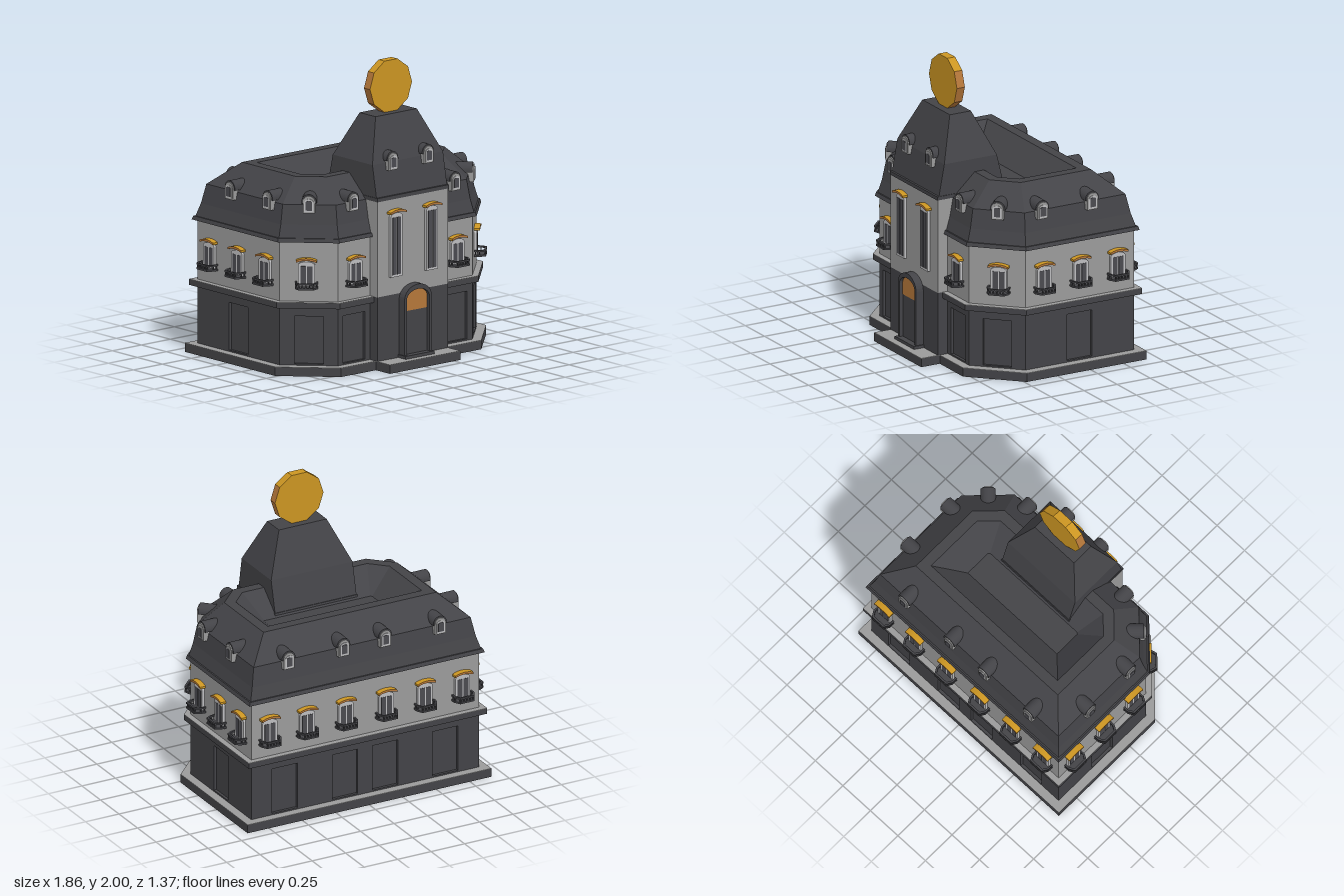
import * as THREE from 'three';

const material = (name, color) => Object.assign(new THREE.MeshStandardMaterial({ color }), { name });
const dark = material('charcoal', 0x434347);
const stone = material('stone grey', 0x9a9a9a);
const trim = material('pale trim', 0xbdbdbf);
const glass = material('window glass', 0x4b4b50);
const gold = material('gold', 0xcb9522);
const brown = material('copper brown', 0xb5773a);

function add(parent, name, geometry, mat, x = 0, y = 0, z = 0) {
  const mesh = new THREE.Mesh(geometry, mat);
  mesh.name = name;
  mesh.position.set(x, y, z);
  parent.add(mesh);
  return mesh;
}
const box = (w, h, d) => new THREE.BoxGeometry(w, h, d);
const extrude = (shape, depth) =>
  new THREE.ExtrudeGeometry(shape, { depth, bevelEnabled: false, curveSegments: 8 });

function flat(geometry) {
  const g = geometry.index ? geometry.toNonIndexed() : geometry;
  g.computeVertexNormals();
  return g;
}

// Faceted solid through stacked rings of [x, y, z] points, capped at both ends
function loft(rings) {
  const n = rings[0].length, pos = [];
  const tri = (a, b, c) => pos.push(...a, ...b, ...c);
  for (let r = 0; r + 1 < rings.length; r++) {
    const lo = rings[r], up = rings[r + 1];
    for (let i = 0; i < n; i++) {
      const j = (i + 1) % n;
      tri(lo[j], lo[i], up[i]);
      tri(lo[j], up[i], up[j]);
    }
  }
  const first = rings[0], last = rings[rings.length - 1];
  for (let k = 1; k + 1 < n; k++) {
    tri(first[0], first[k], first[k + 1]);
    tri(last[0], last[k + 1], last[k]);
  }
  const g = new THREE.BufferGeometry();
  g.setAttribute('position', new THREE.Float32BufferAttribute(pos, 3));
  return flat(g);
}

// Footprint with two chamfered front corners, inset by d
function plan(d, y) {
  const x = 0.85 - d, zb = -0.61 + d, zf = 0.48 - d, s = 1.06 - Math.SQRT2 * d;
  return [[x, y, zb], [x, y, s - x], [s - zf, y, zf], [zf - s, y, zf], [-x, y, s - x], [-x, y, zb]];
}
const rect = (x, zb, zf, y) => [[x, y, zb], [x, y, zf], [-x, y, zf], [-x, y, zb]];
const planLoft = (profile) => loft(profile.map(([d, y]) => plan(d, y)));

function arch(w, y0, spring, rise, Type = THREE.Shape) {
  const s = new Type();
  s.moveTo(-w / 2, y0);
  s.lineTo(w / 2, y0);
  s.lineTo(w / 2, spring);
  s.absellipse(0, spring, w / 2, rise, 0, Math.PI, false);
  s.closePath();
  return s;
}

function polygon(points, Type = THREE.Shape) {
  return new Type(points.map(([x, y]) => new THREE.Vector2(x, y)));
}
const rectangle = (x0, y0, x1, y1, Type) => polygon([[x0, y0], [x1, y0], [x1, y1], [x0, y1]], Type);

// Group on a wall, local +z pointing outward
function onWall(parent, name, [x, z, angle], y = 0) {
  const g = new THREE.Group();
  g.name = name;
  g.position.set(x, y, z);
  g.rotation.y = angle;
  parent.add(g);
  return g;
}
const mirrored = (spots) => spots.flatMap(([x, z, a]) => [[x, z, a], [-x, z, -a]]);

// Arched window with two panes and a curved hood
function addWindow(g, w, y0, spring, hoodY) {
  add(g, 'windowFrame', extrude(arch(w, y0, spring, 0.025), 0.018), trim);
  const pane = w * 0.32;
  for (const s of [-1, 1]) {
    add(g, 'windowPane', box(pane, spring - y0 - 0.02, 0.004), glass, s * pane * 0.62, (y0 + spring) / 2 + 0.005, 0.018);
  }
  const hood = new THREE.Shape();
  hood.moveTo(-0.068, 0);
  hood.quadraticCurveTo(0, 0.026, 0.068, 0);
  hood.lineTo(0.068, 0.014);
  hood.quadraticCurveTo(0, 0.042, -0.068, 0.014);
  hood.closePath();
  add(g, 'windowHood', extrude(hood, 0.04), [brown, gold], 0, hoodY, 0);
}

// Balcony with splayed ends
function addBalcony(g) {
  const outline = (k, d) => [[-0.075 * k, 0], [0.075 * k, 0], [0.075 * k, d * 0.5], [0.052 * k, d], [-0.052 * k, d], [-0.075 * k, d * 0.5]];
  const slab = (shape, h) => extrude(shape, h).rotateX(Math.PI / 2);
  add(g, 'balconyFloor', slab(polygon(outline(1, 0.078)), 0.012), dark, 0, 0.594, 0);
  const rail = polygon(outline(1, 0.078));
  rail.holes.push(polygon(outline(0.85, 0.064), THREE.Path));
  add(g, 'balconyRail', slab(rail, 0.011), dark, 0, 0.625, 0);
  const posts = [-0.046, -0.023, 0, 0.023, 0.046].map((x) => [x, 0.07]);
  posts.push([-0.068, 0.036], [0.068, 0.036], [-0.068, 0.01], [0.068, 0.01]);
  for (const [x, z] of posts) add(g, 'baluster', box(0.008, 0.026, 0.008), dark, x, 0.605, z);
}

// Dormer with barrel roof
function addDormer(g) {
  add(g, 'dormerCheeks', extrude(arch(0.08, 1.08, 1.155, 0.035), 0.1), stone, 0, 0, -0.105);
  add(g, 'dormerRoof', extrude(arch(0.1, 1.145, 1.155, 0.05), 0.125), dark, 0, 0, -0.135);
  add(g, 'dormerFace', extrude(arch(0.08, 1.08, 1.155, 0.04), 0.008), stone, 0, 0, -0.01);
  add(g, 'dormerFrame', extrude(arch(0.06, 1.09, 1.155, 0.022), 0.005), trim, 0, 0, -0.002);
  add(g, 'dormerPane', extrude(arch(0.042, 1.1, 1.155, 0.01), 0.003), glass, 0, 0, 0.003);
}

export function createModel() {
  const model = new THREE.Group();
  model.name = 'townHall';
  const q = Math.PI / 4;

  // Plinth and front landing with pale tops
  add(model, 'plinth', planLoft([[-0.06, 0], [-0.06, 0.057]]), dark);
  add(model, 'plinthTop', planLoft([[-0.06, 0.057], [-0.06, 0.06]]), stone);
  add(model, 'landing', box(0.61, 0.057, 0.28), dark, 0, 0.0285, 0.54);
  add(model, 'landingTop', box(0.61, 0.003, 0.28), stone, 0, 0.0585, 0.54);

  // Ground floor with recessed panels
  add(model, 'groundFloorCore', planLoft([[0.02, 0.05], [0.02, 0.46]]), dark);
  const faces = [
    [[0, 0.48, 0], 1.16, [-0.44, 0.44]],
    [[0, -0.61, Math.PI], 1.7, [-0.6, -0.15, 0.15, 0.6]],
    ...mirrored([[0.715, 0.345, q]]).map((s) => [s, 0.382, [0]]),
    ...mirrored([[0.85, -0.2, 2 * q]]).map((s) => [s, 0.82, [0]]),
  ];
  for (const [spot, width, panels] of faces) {
    const wall = rectangle(-width / 2, 0.06, width / 2, 0.45);
    for (const x of panels) wall.holes.push(rectangle(x - 0.095, 0.07, x + 0.095, 0.39, THREE.Path));
    add(onWall(model, 'groundFloorWall', spot), 'panelledWall', extrude(wall, 0.02), dark, 0, 0, -0.02);
  }

  // Cornice and upper floor
  add(model, 'cornice', planLoft([[-0.04, 0.45], [-0.04, 0.487]]), dark);
  add(model, 'corniceTop', planLoft([[-0.04, 0.487], [-0.04, 0.49]]), stone);
  add(model, 'upperWalls', planLoft([[0, 0.48], [0, 0.9]]), stone);

  // Mansard roof with sunken centre
  add(model, 'mansardRoof', planLoft([[-0.028, 0.89], [-0.02, 0.915], [-0.01, 0.915], [0.015, 1.0],
    [0.04, 1.13], [0.205, 1.28], [0.275, 1.28], [0.445, 1.13]]), dark);

  // Central pavilion
  add(model, 'pavilionBase', box(0.61, 0.44, 0.355), dark, 0, 0.27, 0.3775);
  add(model, 'pavilionWall', box(0.61, 0.645, 0.455), stone, 0, 0.8125, 0.3275);
  add(model, 'pavilionRoof', loft([rect(0.308, 0.045, 0.56, 1.13), rect(0.308, 0.05, 0.56, 1.155),
    rect(0.304, 0.055, 0.545, 1.155), rect(0.304, 0.108, 0.505, 1.37), rect(0.178, 0.23, 0.39, 1.655)]), dark);

  // Ten-sided disc on the pavilion, copper on its lower rim
  const disc = new THREE.CylinderGeometry(0.181, 0.181, 0.06, 10, 1, false, Math.PI / 10).rotateX(Math.PI / 2);
  disc.clearGroups();
  [[0, 18, 0], [18, 18, 1], [36, 24, 0], [60, 60, 1]].forEach((r) => disc.addGroup(...r));
  add(model, 'roofDisc', flat(disc), [brown, gold], 0, 1.828, 0.308);

  // Doorway
  const surround = arch(0.235, 0.06, 0.45, 0.095);
  surround.holes.push(arch(0.195, 0.08, 0.45, 0.062, THREE.Path));
  add(model, 'doorSurround', extrude(surround, 0.055), dark, 0, 0, 0.555);
  add(model, 'door', box(0.195, 0.29, 0.03), dark, 0, 0.225, 0.57);
  add(model, 'doorFanlight', extrude(arch(0.195, 0.37, 0.45, 0.062), 0.006), brown, 0, 0, 0.58);
  add(model, 'doorStep', box(0.25, 0.02, 0.08), dark, 0, 0.07, 0.59);

  // Upper windows with balconies
  const windows = mirrored([[0.44, 0.48, 0], [0.725, 0.335, q],
    ...[-0.48, -0.2, 0.075].map((z) => [0.85, z, 2 * q]),
    ...[0.15, 0.44, 0.72].map((x) => [x, -0.61, 4 * q])]);
  for (const spot of windows) {
    const g = onWall(model, 'balconyWindow', spot);
    addWindow(g, 0.11, 0.585, 0.735, 0.758);
    addBalcony(g);
  }

  // Tall pavilion windows
  for (const x of [-0.153, 0.153]) {
    addWindow(onWall(model, 'tallWindow', [x, 0.555, 0]), 0.1, 0.61, 1.015, 1.037);
  }

  // Dormers on the mansard and the pavilion
  const dormers = mirrored([[0.44, 0.48, 0], [0.715, 0.345, q],
    [0.85, -0.3, 2 * q], [0.85, 0.077, 2 * q],
    [0.155, -0.61, 4 * q], [0.565, -0.61, 4 * q]]);
  for (const spot of dormers) addDormer(onWall(model, 'dormer', spot));
  for (const x of [-0.153, 0.153]) addDormer(onWall(model, 'pavilionDormer', [x, 0.54, 0], 0.24));

  return model;
}
